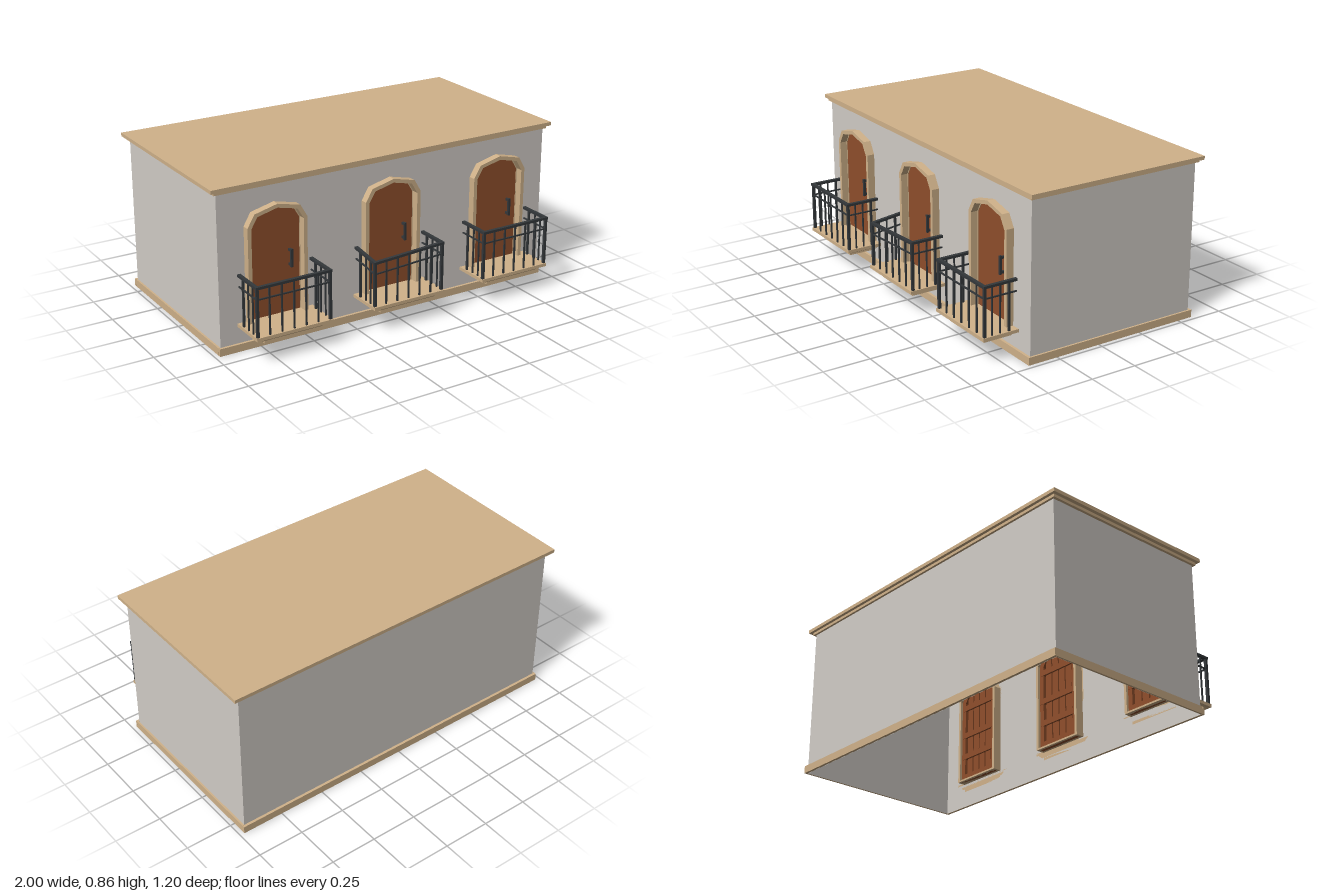
import * as THREE from 'three';

const wallMat = new THREE.MeshStandardMaterial({ name: 'plaster', color: 0xd2cdc7, side: THREE.DoubleSide });
const stoneMat = new THREE.MeshStandardMaterial({ name: 'tan stone', color: 0xd0b28a });
const woodMat = new THREE.MeshStandardMaterial({ name: 'brown wood', color: 0x904f2c });
const ironMat = new THREE.MeshStandardMaterial({ name: 'dark iron', color: 0x34383b });

const W = 0.965, FRONT = 0.4, BACK = -0.57;

function add(parent, name, geo, mat, x = 0, y = 0, z = 0) {
  const m = new THREE.Mesh(geo, mat);
  m.name = name;
  m.position.set(x, y, z);
  parent.add(m);
  return m;
}

// Box given by its minimum and maximum corners
function block(parent, name, mat, [x0, y0, z0], [x1, y1, z1]) {
  return add(parent, name, new THREE.BoxGeometry(x1 - x0, y1 - y0, z1 - z0), mat,
    (x0 + x1) / 2, (y0 + y1) / 2, (z0 + z1) / 2);
}

// Square bar between two points
function bar(parent, name, a, b, w, h = w) {
  const p = new THREE.Vector3(...a), q = new THREE.Vector3(...b);
  const m = add(parent, name, new THREE.BoxGeometry(w, h, p.distanceTo(q)), ironMat);
  m.position.copy(p).add(q).multiplyScalar(0.5);
  m.lookAt(q);
  return m;
}

// Faceted arch outline; inset shrinks it evenly
function archPoints(inset, cx = 0, bottom = 0.135) {
  const half = 0.163 - inset, s = inset * 0.8;
  return [[-half, bottom], [half, bottom], [half, 0.64 - inset * 0.4], [0.125 - s, 0.705 - s],
    [0, 0.735 - inset], [-0.125 + s, 0.705 - s], [-half, 0.64 - inset * 0.4]]
    .map(([x, y]) => new THREE.Vector2(cx + x, y));
}

function extrude(shape, depth) {
  return new THREE.ExtrudeGeometry(shape, { depth, bevelEnabled: false });
}

function archRing(outer, inner, depth) {
  const s = new THREE.Shape(archPoints(outer));
  s.holes.push(new THREE.Path(archPoints(inner, 0, 0.145)));
  return extrude(s, depth);
}

function makeDoor() {
  const g = new THREE.Group();
  g.name = 'door';
  add(g, 'doorSurround', archRing(0, 0.02, 0.04), stoneMat, 0, 0, 0.4);
  add(g, 'doorJamb', archRing(0.008, 0.024, 0.05), stoneMat, 0, 0, 0.352);
  add(g, 'doorLeaf', extrude(new THREE.Shape(archPoints(0.022, 0, 0.14)), 0.014), woodMat, 0, 0, 0.385);

  // Planks, stiles and rails on the inner face
  add(g, 'doorStiles', archRing(0.024, 0.052, 0.02), woodMat, 0, 0, 0.366);
  for (let i = 0; i < 4; i++) {
    const x = -0.078 + i * 0.052;
    block(g, 'doorPlank', woodMat, [x - 0.022, 0.145, 0.375], [x + 0.022, 0.672, 0.386]);
  }
  for (const y of [0.145, 0.27, 0.4, 0.57])
    block(g, 'doorRail', woodMat, [-0.135, y, 0.364], [0.135, y + 0.032, 0.386]);

  // Pull handle
  bar(g, 'handleGrip', [0.083, 0.385, 0.422], [0.083, 0.48, 0.422], 0.012);
  for (const y of [0.395, 0.47]) bar(g, 'handleMount', [0.083, y, 0.397], [0.083, y, 0.422], 0.012);
  return g;
}

// Tapered bracket under a balcony, lofted from two rectangles
function taperedBlock(halfTop, halfBottom, zTop, zBottom, y0, y1) {
  const geo = new THREE.BoxGeometry(1, y1 - y0, 1).toNonIndexed();
  const p = geo.attributes.position;
  for (let i = 0; i < p.count; i++) {
    const top = p.getY(i) > 0;
    p.setX(i, Math.sign(p.getX(i)) * (top ? halfTop : halfBottom));
    p.setZ(i, p.getZ(i) > 0 ? (top ? zTop : zBottom) : FRONT);
  }
  geo.translate(0, (y0 + y1) / 2, 0);
  geo.computeVertexNormals();
  return geo;
}

// sag lowers the front corner on the -x side
function makeBalcony(sag) {
  const g = new THREE.Group();
  g.name = 'balcony';
  block(g, 'balconySlab', stoneMat, [-0.21, 0.128, FRONT], [0.21, 0.145, 0.6]);
  add(g, 'balconyMoulding', taperedBlock(0.193, 0.165, 0.588, 0.565, 0.106, 0.128), stoneMat);
  block(g, 'balconyFoot', stoneMat, [-0.15, 0.09, FRONT], [0.15, 0.106, 0.558]);

  const X = 0.2, Z = 0.588 - sag * 0.2, Z0 = 0.408;
  const railY = (x, z, y) => y - sag * Math.max(0, (X - x) / (2 * X)) * ((z - Z0) / (Z - Z0));
  const rail = (name, y, w, h) => {
    const at = (x, z) => [x, railY(x, z, y), z];
    bar(g, name, at(-X - w / 2, Z), at(X + w / 2, Z), w, h);
    for (const x of [-X, X]) bar(g, name, at(x, Z0), at(x, Z), w, h);
  };
  rail('handrail', 0.4, 0.018, 0.013);
  rail('middleRail', 0.34, 0.007, 0.007);

  const upright = (name, x, z, w) => bar(g, name, [x, 0.14, z], [x, railY(x, z, 0.4), z], w);
  for (const x of [-X, X]) {
    upright('cornerPost', x, Z, 0.014);
    for (const z of [0.45, 0.5, 0.545]) upright('sideBaluster', x, z, z === 0.45 ? 0.01 : 0.007);
  }
  for (let i = 1; i < 6; i++) upright('frontBaluster', -X + i * X / 3, Z, 0.008);
  return g;
}

export function createModel() {
  const model = new THREE.Group();
  model.name = 'balconyFacade';
  const centres = [-0.66, 0, 0.66];

  // Thin walls, open underneath; the front has arched openings
  const front = new THREE.Shape([[-W, 0], [W, 0], [W, 0.84], [-W, 0.84]].map(p => new THREE.Vector2(...p)));
  for (const c of centres) front.holes.push(new THREE.Path(archPoints(0.012, c)));
  add(model, 'frontWall', new THREE.ShapeGeometry(front), wallMat, 0, 0, FRONT);
  add(model, 'backWall', new THREE.PlaneGeometry(2 * W, 0.84), wallMat, 0, 0.42, BACK).rotation.y = Math.PI;
  for (const s of [-1, 1])
    add(model, 'sideWall', new THREE.PlaneGeometry(FRONT - BACK, 0.84), wallMat,
      s * W, 0.42, (FRONT + BACK) / 2).rotation.y = s * Math.PI / 2;

  // Plinth strips around the foot of the walls
  const P = 0.976, F = 0.415, B = -0.585;
  block(model, 'plinthFront', stoneMat, [-P, 0, FRONT + 0.001], [P, 0.04, F]);
  block(model, 'plinthBack', stoneMat, [-P, 0, B], [P, 0.04, BACK - 0.001]);
  block(model, 'plinthLeft', stoneMat, [W + 0.001, 0, BACK], [P, 0.04, FRONT]);
  block(model, 'plinthRight', stoneMat, [-P, 0, BACK], [-W - 0.001, 0.04, FRONT]);

  // Stepped cornice and flat roof
  block(model, 'corniceStep', stoneMat, [-0.98, 0.826, -0.582], [0.98, 0.841, 0.412]);
  block(model, 'roofSlab', stoneMat, [-1, 0.841, -0.598], [1, 0.86, 0.424]);

  centres.forEach((c, i) => {
    const bay = new THREE.Group();
    bay.name = 'bay';
    bay.position.x = c;
    bay.add(makeDoor(), makeBalcony(i === 1 ? 0.022 : 0));
    model.add(bay);
  });
  return model;
}
